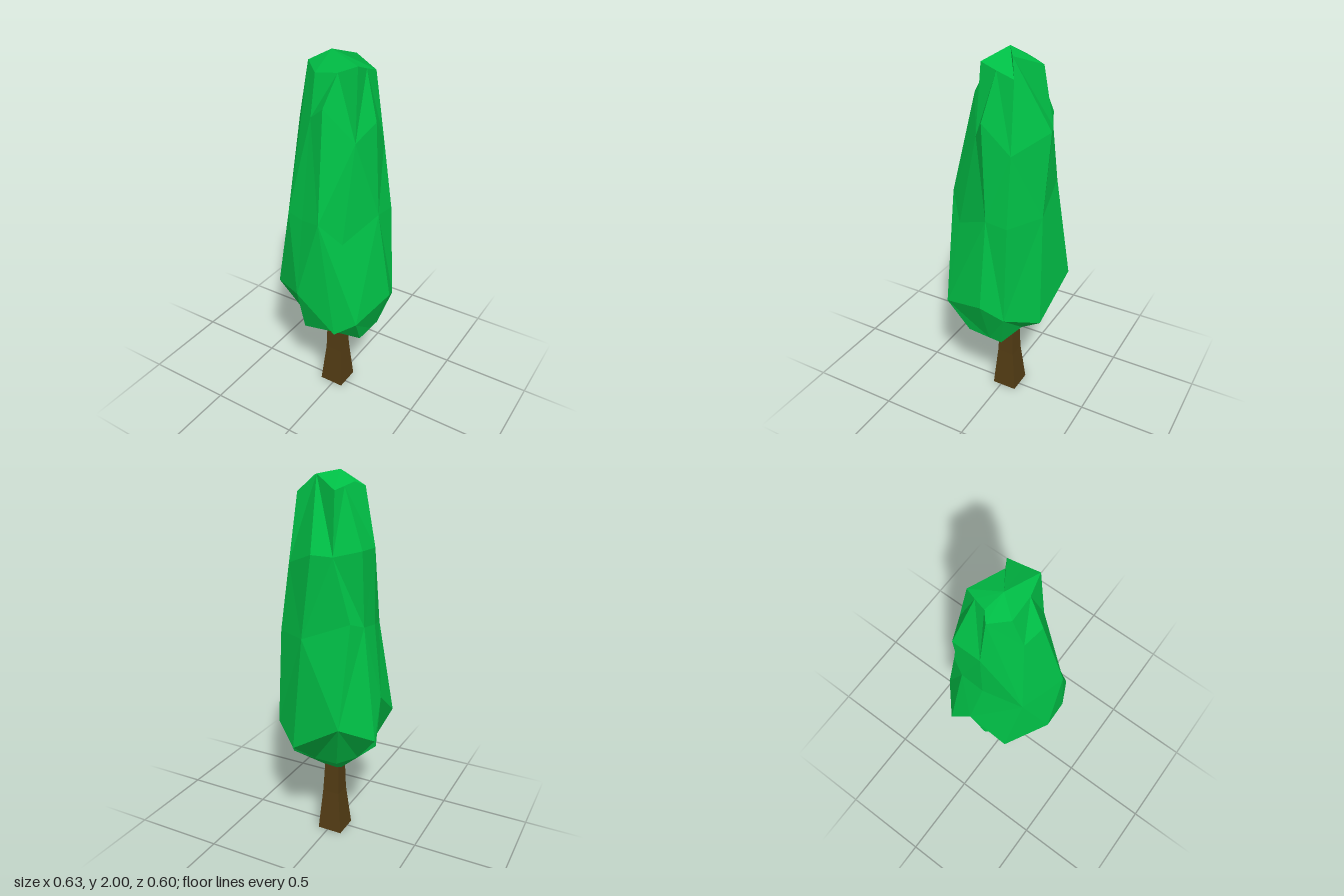
import * as THREE from 'three';

// Vertical ribs of the crown: angle from the front (degrees), then [radius, height, twist] upward
const RIBS = [
  [-11, [[0.205, 0.48, -18], [0.306, 0.79], [0.243, 1.20, -3], [0.145, 1.70, -18], [0.106, 1.90, -38]]],
  [29, [[0.18, 0.50], [0.31, 0.59], [0.285, 1.23, -16], [0.161, 1.77, -22], [0.083, 1.92, 4]]],
  [49, [[0.24, 0.48, 14], [0.335, 0.66], [0.242, 1.10, -11], [0.17, 1.60, 13], [0.149, 1.96, 21]]],
  [94, [[0.21, 0.465], [0.315, 0.73], [0.235, 1.20], [0.22, 1.70, -6], [0.143, 1.93, 8]]],
  [117, [[0.228, 0.46, -4], [0.305, 0.66], [0.278, 1.19, 3], [0.23, 1.55, 8], [0.184, 1.90, 14]]],
  [158, [[0.142, 0.475], [0.29, 0.59], [0.252, 1.20, 8], [0.25, 1.63, 22], [0.092, 1.98, -19]]],
  [210, [[0.20, 0.50], [0.345, 0.77], [0.276, 1.30, 13], [0.232, 1.62, -5], [0.18, 1.92, -3]]],
  [241, [[0.22, 0.53], [0.365, 0.69], [0.26, 1.27], [0.27, 1.65, -5], [0.145, 1.935, -15]]],
  [270, [[0.25, 0.56], [0.298, 0.88, -10], [0.228, 1.25], [0.222, 1.64], [0.13, 1.95, -16]]],
  [301, [[0.205, 0.52, -4], [0.32, 0.72], [0.26, 1.20, 19], [0.183, 1.63, -5], [0.165, 1.93, -31]]],
];

// Faceted skin over the ribs, closed by a tip at each end
function crownGeometry() {
  const rows = RIBS[0][1].length;
  const count = RIBS.length;
  const positions = [];
  const index = [];
  for (const [degrees, profile] of RIBS) {
    for (const [r, y, twist = 0] of profile) {
      const a = THREE.MathUtils.degToRad(degrees + twist);
      positions.push(r * Math.sin(a), y, r * Math.cos(a));
    }
  }
  positions.push(-0.02, 0.355, 0.0, -0.035, 2.0, -0.005);
  const bottom = count * rows;
  const top = bottom + 1;

  for (let i = 0; i < count; i++) {
    const p = i * rows;
    const q = ((i + 1) % count) * rows;
    index.push(bottom, q, p);
    for (let j = 0; j < rows - 1; j++) {
      const a = p + j, b = q + j, c = q + j + 1, d = p + j + 1;
      // alternating diagonals give the irregular facets
      if ((i + j) % 2) index.push(a, b, c, a, c, d);
      else index.push(a, b, d, b, c, d);
    }
    index.push(p + rows - 1, q + rows - 1, top);
  }

  const geometry = new THREE.BufferGeometry();
  geometry.setAttribute('position', new THREE.Float32BufferAttribute(positions, 3));
  geometry.setIndex(index);
  const flat = geometry.toNonIndexed();
  flat.computeVertexNormals();
  return flat;
}

// Square trunk, flared toward the foot
function trunkGeometry() {
  const geometry = new THREE.BoxGeometry(1, 2, 1, 1, 2, 1);
  const levels = [
    { y: 0, w: 0.14, x: -0.013, z: -0.021 },
    { y: 0.24, w: 0.096, x: -0.01, z: -0.02 },
    { y: 0.46, w: 0.078, x: -0.014, z: -0.02 },
  ];
  const pos = geometry.attributes.position;
  for (let i = 0; i < pos.count; i++) {
    const l = levels[Math.round(pos.getY(i)) + 1];
    pos.setXYZ(i, l.x + pos.getX(i) * l.w, l.y, l.z + pos.getZ(i) * l.w);
  }
  geometry.computeVertexNormals();
  return geometry;
}

export function createModel() {
  const group = new THREE.Group();
  group.name = 'tree';
  const add = (name, geometry, color) => {
    const material = new THREE.MeshStandardMaterial({ color, flatShading: true });
    const mesh = new THREE.Mesh(geometry, material);
    mesh.name = name;
    group.add(mesh);
  };
  add('trunk', trunkGeometry(), 0x533c14);
  add('crown', crownGeometry(), 0x00bd45);
  return group;
}
